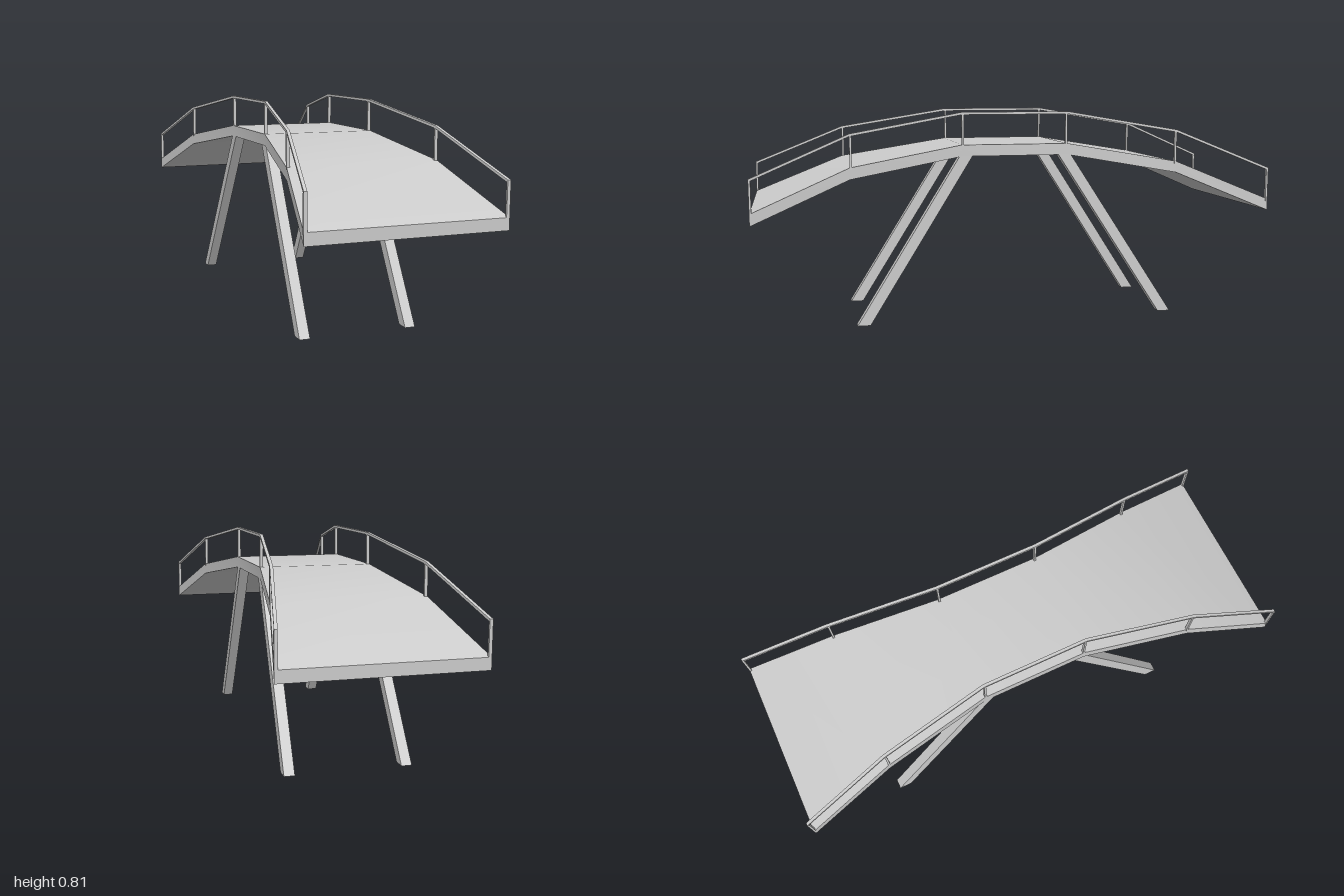
import * as THREE from 'three';
import { toCreasedNormals } from 'three/addons/utils/BufferGeometryUtils.js';

const material = new THREE.MeshStandardMaterial({ color: 0xcccccc });

// Closed solid through four-cornered sections, corners counter-clockwise seen from the last section's end
function loft(name, sections) {
  const index = [];
  const last = (sections.length - 1) * 4;
  for (let i = 0; i < last; i += 4) {
    for (let j = 0; j < 4; j++) {
      const a = i + j, b = i + (j + 1) % 4;
      index.push(a, b, b + 4, a, b + 4, a + 4);
    }
  }
  index.push(0, 2, 1, 0, 3, 2, last, last + 1, last + 2, last, last + 2, last + 3);
  const geometry = new THREE.BufferGeometry();
  geometry.setAttribute('position', new THREE.Float32BufferAttribute(sections.flat(2), 3));
  geometry.setIndex(index);
  const mesh = new THREE.Mesh(toCreasedNormals(geometry, 0.5), material);
  mesh.name = name;
  return mesh;
}

// Rectangle in the xy plane at depth z
const upright = (x0, x1, y0, y1, z) => [[x0, y0, z], [x1, y0, z], [x1, y1, z], [x0, y1, z]];
// Rectangle in the xz plane at height y
const level = (x, z, y, w, d) => [
  [x - w / 2, y, z + d / 2], [x + w / 2, y, z + d / 2],
  [x + w / 2, y, z - d / 2], [x - w / 2, y, z - d / 2],
];

export function createModel() {
  const bridge = new THREE.Group();
  bridge.name = 'footbridge';

  // Break lines of the deck: depth, half width, top height
  const half = [[0.21, 0.221, 0.69], [0.64, 0.287, 0.617], [1, 0.362, 0.466]];
  const stations = [...half.map(([z, w, y]) => [-z, w, y]).reverse(), ...half];
  const thickness = 0.044, railHeight = 0.125, bar = 0.012;

  // Arched deck, flaring towards both ends
  bridge.add(loft('deck', stations.map(([z, w, y]) => upright(-w, w, y - thickness, y, z))));

  // Handrails and their posts
  for (const side of [1, -1]) {
    const railing = new THREE.Group();
    railing.name = side > 0 ? 'leftRailing' : 'rightRailing';
    const span = (w) => (side > 0 ? [w - bar, w] : [-w, -w + bar]);
    railing.add(loft('handrail', stations.map(([z, w, y]) =>
      upright(...span(w), y + railHeight - 0.01, y + railHeight, z))));
    for (const [z, w, y] of stations) {
      const zMid = z - Math.sign(z) * 0.004;
      const bottom = y - 0.008, top = y + railHeight - 0.005;
      const post = new THREE.Mesh(new THREE.BoxGeometry(bar, top - bottom, 0.008), material);
      post.name = 'railPost';
      post.position.set(side * (w - bar / 2), (top + bottom) / 2, zMid);
      railing.add(post);
    }
    bridge.add(railing);
  }

  // Slanted legs, each with its own slight splay: foot x, foot z, head x, head z
  const legs = [
    ['frontLeftLeg', 0.201, 0.595, 0.2, 0.188],
    ['frontRightLeg', -0.213, 0.595, -0.199, 0.188],
    ['backLeftLeg', 0.221, -0.62, 0.2, -0.194],
    ['backRightLeg', -0.219, -0.62, -0.2, -0.194],
  ];
  for (const [name, footX, footZ, headX, headZ] of legs) {
    bridge.add(loft(name, [
      level(footX, footZ, 0, 0.04, 0.05),
      level(headX, headZ, 0.655, 0.04, 0.05),
    ]));
  }
  return bridge;
}
